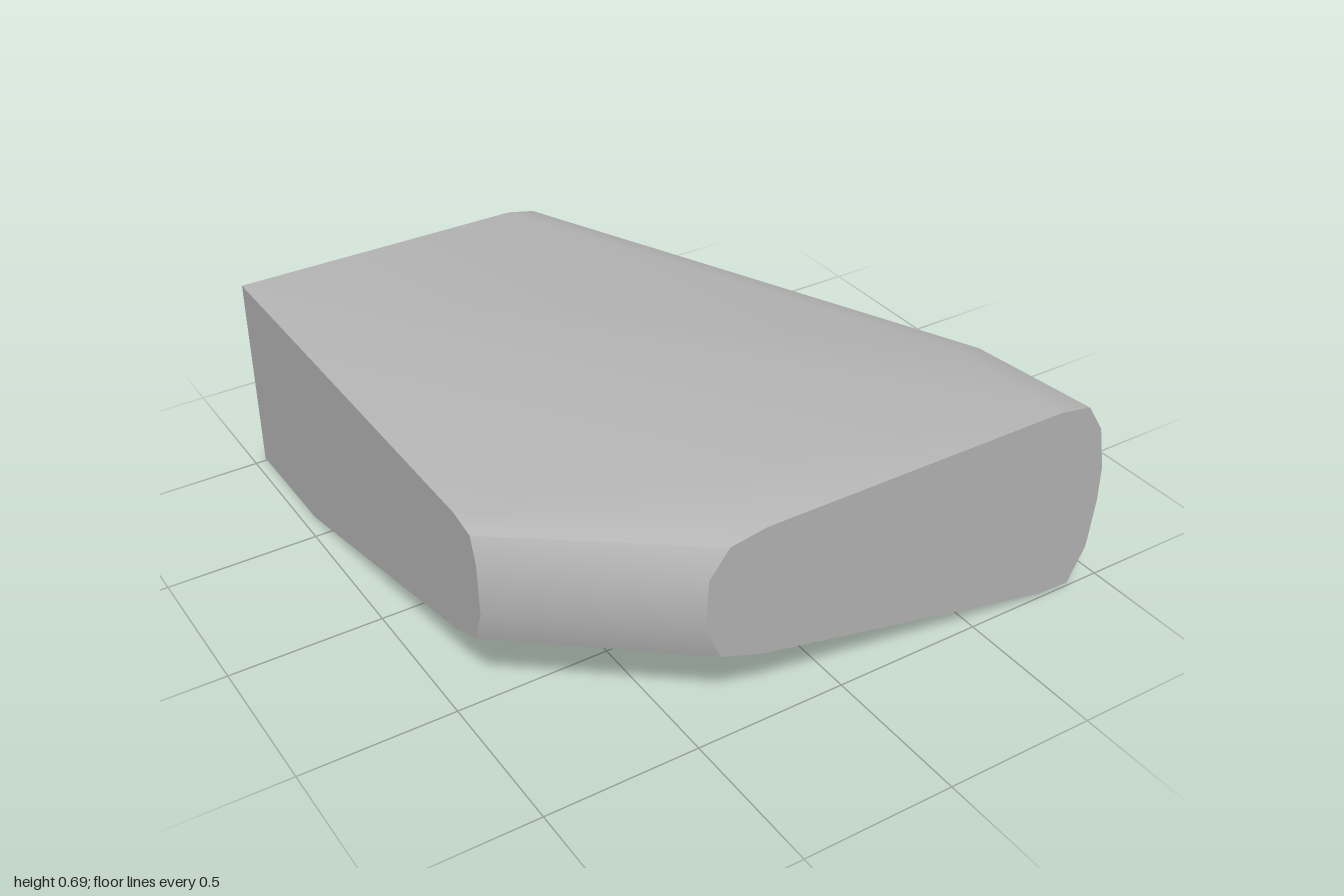
import * as THREE from 'three';
import { ConvexGeometry } from 'three/addons/geometries/ConvexGeometry.js';
import { toCreasedNormals } from 'three/addons/utils/BufferGeometryUtils.js';

// Cut block with a flat top, a bulging side, a bevelled corner and a sloping underside.
const sections = {
  // square cut at the back, rounded towards +x
  backCut: [
    [-0.965, 0.685, -1], [0.02, 0.685, -1], [0.115, 0.665, -1], [0.17, 0.57, -1],
    [0.2, 0.42, -1], [0.19, 0.27, -1], [0.135, 0.13, -1], [0.015, 0.012, -1], [-0.965, 0.01, -1],
  ],
  // where the long side bends towards the front
  sideBend: [
    [0.72, 0.685, 0.52], [0.83, 0.655, 0.55], [0.845, 0.57, 0.46], [0.835, 0.42, 0.41],
    [0.895, 0.42, 0.62], [0.935, 0.42, 0.82], [0.832, 0.28, 0.41], [0.893, 0.29, 0.62],
    [0.933, 0.3, 0.82], [0.84, 0.13, 0.46], [0.84, 0.035, 0.53],
  ],
  // large front cut, tapering along its lower edge
  frontCut: [
    [-0.41, 0.665, 1], [-0.29, 0.685, 1], [0.76, 0.685, 1], [0.87, 0.665, 1], [0.93, 0.57, 1],
    [0.96, 0.42, 1], [0.96, 0.3, 1], [0.94, 0.13, 1], [0.88, 0.012, 1], [0.76, 0.017, 1],
    [-0.29, 0.25, 1], [-0.43, 0.3, 1], [-0.485, 0.42, 1], [-0.475, 0.58, 1],
  ],
  // flat cut on the -x side
  sideCut: [
    [-0.965, 0.685, 0.49], [-0.965, 0.665, 0.585], [-0.965, 0.58, 0.612], [-0.965, 0.42, 0.62],
    [-0.965, 0.31, 0.58], [-0.965, 0.26, 0.457], [-0.965, 0.015, -0.58],
  ],
  // lowest area of the underside
  base: [[-0.6, 0, -0.8], [-0.1, 0, -0.9], [0.7, 0, 0.5], [0.7, 0, 0.85]],
};

export function createModel() {
  const model = new THREE.Group();
  model.name = 'cutBlock';

  const stone = new THREE.MeshStandardMaterial({ color: 0xb8b8b8 });
  stone.name = 'stone grey';

  const points = Object.values(sections).flat().map((p) => new THREE.Vector3(...p));
  const block = new THREE.Mesh(toCreasedNormals(new ConvexGeometry(points), 0.58), stone);
  block.name = 'block';
  model.add(block);
  return model;
}
